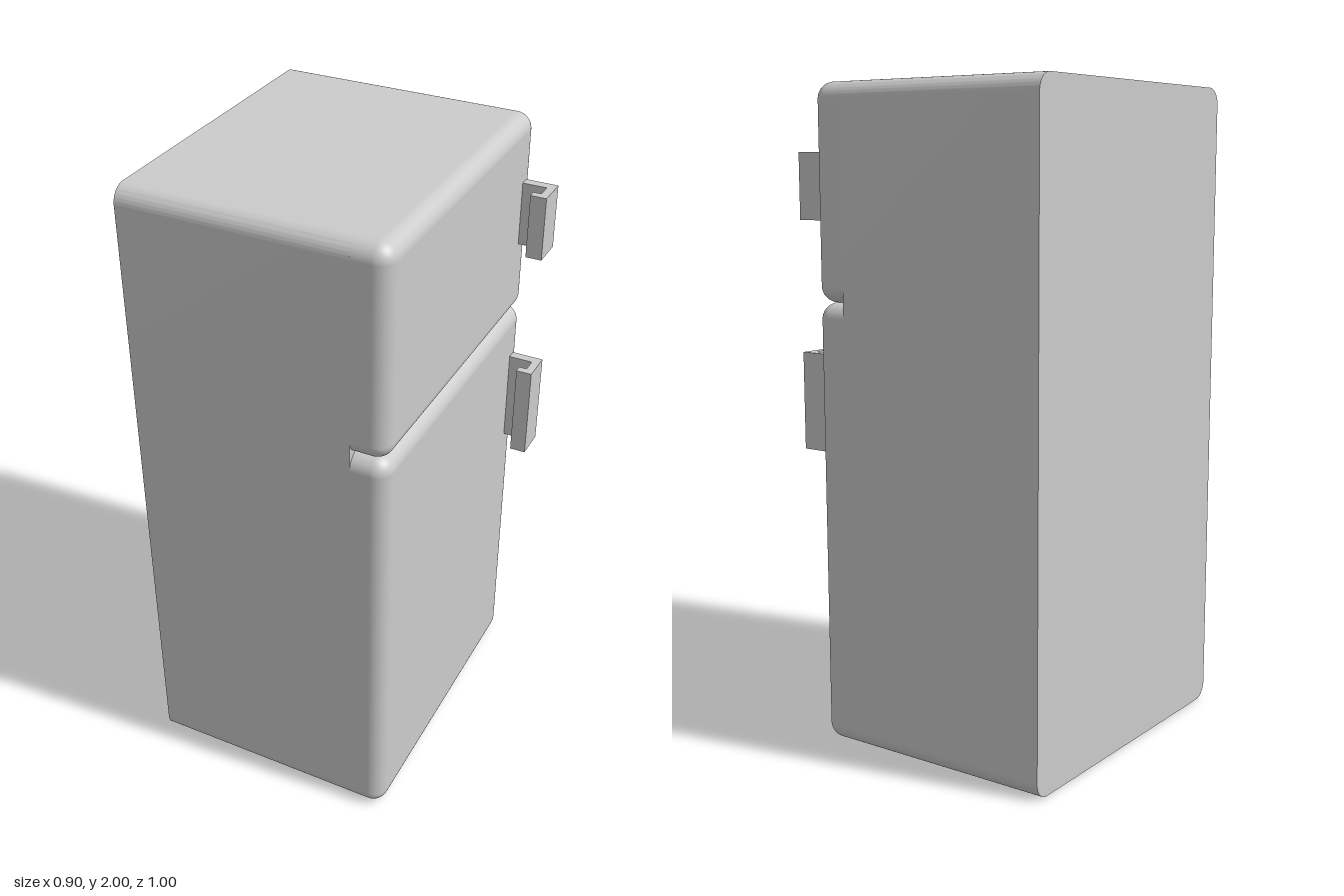
import * as THREE from 'three';
import { RoundedBoxGeometry } from 'three/addons/geometries/RoundedBoxGeometry.js';
import { toCreasedNormals } from 'three/addons/utils/BufferGeometryUtils.js';

const BACK = -0.45, SEAM = 0.24, FRONT = 0.35; // x positions
const HEIGHT = 2, WIDTH = 1, SPLIT = 1.36, R = 0.05;

const material = new THREE.MeshStandardMaterial({ color: 0xcccccc });

function addMesh(parent, name, geometry) {
  const mesh = new THREE.Mesh(geometry, material);
  mesh.name = name;
  parent.add(mesh);
  return mesh;
}

// Cabinet: rounded rectangle extruded along x, with a sharp back edge
function cabinetGeometry() {
  const w = WIDTH / 2, h = HEIGHT;
  const s = new THREE.Shape();
  s.absarc(w - R, R, R, -Math.PI / 2, 0);
  s.absarc(w - R, h - R, R, 0, Math.PI / 2);
  s.absarc(-w + R, h - R, R, Math.PI / 2, Math.PI);
  s.absarc(-w + R, R, R, Math.PI, Math.PI * 1.5);
  const g = new THREE.ExtrudeGeometry(s, { depth: SEAM - BACK, bevelEnabled: false, curveSegments: 8 });
  g.rotateY(Math.PI / 2).translate(BACK, 0, 0);
  return toCreasedNormals(g, 0.6);
}

// Door: rounded box whose rear half is flattened against the cabinet
function doorGeometry(y0, y1) {
  const g = new RoundedBoxGeometry(2 * (FRONT - SEAM), y1 - y0, WIDTH, 8, R);
  const p = g.attributes.position;
  for (let i = 0; i < p.count; i++) p.setX(i, Math.max(p.getX(i), 0));
  return g.translate(SEAM, (y0 + y1) / 2, 0);
}

// Handle: hook-shaped section extruded upwards
function handleGeometry(y0, y1) {
  const section = [
    [FRONT - 0.01, 0.42], [0.425, 0.42], [0.425, 0.375], [0.4, 0.375],
    [0.4, 0.35], [0.45, 0.35], [0.45, 0.45], [FRONT - 0.01, 0.45],
  ].map(([x, y]) => new THREE.Vector2(x, y));
  const g = new THREE.ExtrudeGeometry(new THREE.Shape(section), { depth: y1 - y0, bevelEnabled: false });
  return g.rotateX(-Math.PI / 2).translate(0, y0, 0);
}

export function createModel() {
  const fridge = new THREE.Group();
  fridge.name = 'refrigerator';

  addMesh(fridge, 'cabinet', cabinetGeometry());

  const doors = [
    { name: 'fridge', y: [0, SPLIT], handle: [0.9, 1.2] },
    { name: 'freezer', y: [SPLIT, HEIGHT], handle: [1.6, 1.8] },
  ];
  for (const d of doors) {
    addMesh(fridge, d.name + 'Door', doorGeometry(...d.y));
    addMesh(fridge, d.name + 'Handle', handleGeometry(...d.handle));
  }
  return fridge;
}
